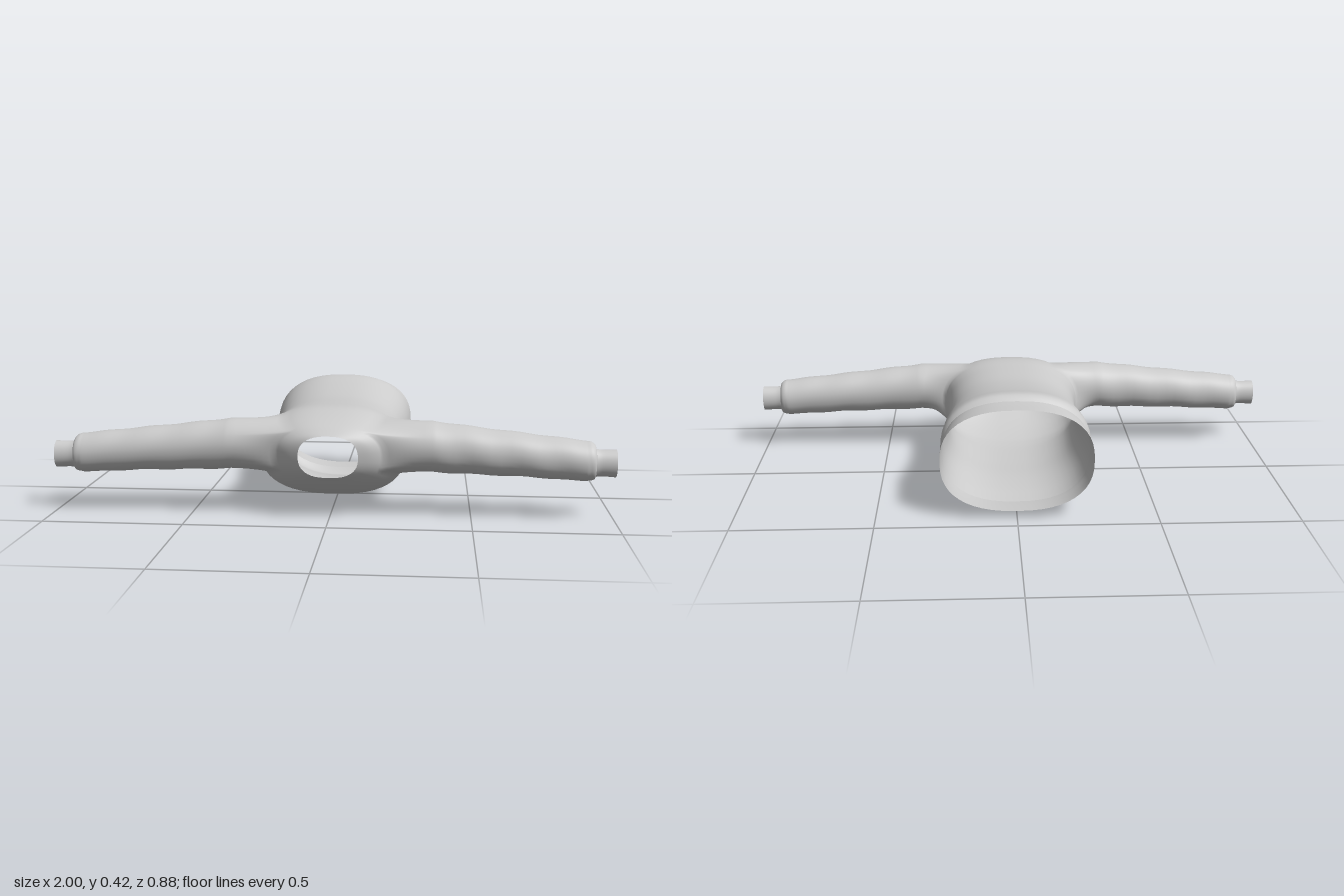
import * as THREE from 'three';

const material = new THREE.MeshStandardMaterial({ color: 0xcccccc, side: THREE.DoubleSide });
const SIDES = 48, SUB = 4;

// Torso stations from neck to waist: zTop, zBottom, yTop, yBottom, halfWidth
const torso = [
  [0.44, 0.40, 0.307, 0.152, 0.105],
  [0.425, 0.375, 0.318, 0.135, 0.15],
  [0.40, 0.345, 0.335, 0.113, 0.19],
  [0.365, 0.305, 0.349, 0.088, 0.225],
  [0.32, 0.26, 0.363, 0.066, 0.25],
  [0.26, 0.21, 0.376, 0.049, 0.262],
  [0.205, 0.175, 0.379, 0.042, 0.262],
  [0.13, 0.12, 0.377, 0.036, 0.25],
  [0, 0, 0.375, 0.03, 0.245],
  [-0.11, -0.11, 0.385, 0.027, 0.25],
  [-0.21, -0.21, 0.402, 0.017, 0.262],
  [-0.28, -0.28, 0.418, 0.005, 0.268],
  [-0.32, -0.32, 0.42, 0.001, 0.27],
  [-0.342, -0.348, 0.404, 0.024, 0.262],
];
const hem = [
  [-0.342, -0.348, 0.404, 0.024, 0.262],
  [-0.38, -0.385, 0.402, 0.026, 0.268],
  [-0.43, -0.438, 0.401, 0.028, 0.27],
];
// Sleeve stations: x, yCentre, yRadius, zCentre, zRadius
const sleeve = [
  [0.36, 0.251, 0.091, 0.299, 0.086],
  [0.5, 0.24, 0.085, 0.302, 0.078],
  [0.7, 0.226, 0.077, 0.303, 0.073],
  [0.85, 0.213, 0.073, 0.305, 0.067],
  [0.905, 0.21, 0.07, 0.305, 0.065],
  [0.925, 0.207, 0.062, 0.307, 0.056],
  [0.928, 0.204, 0.05, 0.31, 0.039],
];
const cuff = [
  [0.928, 0.204, 0.05, 0.31, 0.039],
  [0.95, 0.204, 0.047, 0.31, 0.036],
  [1.0, 0.203, 0.049, 0.31, 0.038],
];

// Smooth values at position u (in stations) along a table
function sample(table, u) {
  const i = Math.min(Math.floor(u), table.length - 2), t = u - i;
  const at = (k) => table[Math.max(0, Math.min(table.length - 1, k))];
  return at(i).map((p, k) => {
    const q = at(i + 1)[k], m0 = (q - at(i - 1)[k]) / 2, m1 = (at(i + 2)[k] - p) / 2;
    const t2 = t * t, t3 = t2 * t;
    return (2 * t3 - 3 * t2 + 1) * p + (t3 - 2 * t2 + t) * m0 + (3 * t2 - 2 * t3) * q + (t3 - t2) * m1;
  });
}

// Rounded oval torso section; the front rim leans back at the bottom
function torsoPoint([zt, zb, yt, yb, w], j) {
  const a = (j / SIDES) * Math.PI * 2;
  const soft = (v) => Math.sign(v) * Math.abs(v) ** 0.82;
  const v = soft(Math.sin(a));
  const y = (yt + yb) / 2 + v * (yt - yb) / 2;
  return [soft(Math.cos(a)) * w, y, zb + (zt - zb) * Math.max(0, (v + 1) / 2) ** 0.6];
}

function sleevePoint([x, yc, ry, zc, rz], a, fold) {
  const r = 1 + fold * Math.sin(x * 38 + 2 * Math.sin(a));
  return [x, yc + Math.sin(a) * ry * r, zc + Math.cos(a) * rz * r];
}

function surface() {
  const pos = [], index = [];
  return {
    pos,
    add(p) { pos.push(...p); return pos.length / 3 - 1; },
    quad(a, b, c, d, flip) {
      index.push(...(flip ? [a, b, c, b, d, c] : [a, c, b, b, c, d]));
    },
    strip(r0, r1, flip) {
      const n = r0.length;
      for (let k = 0; k < n; k++) this.quad(r0[k], r0[(k + 1) % n], r1[k], r1[(k + 1) % n], flip);
    },
    mesh(name) {
      const g = new THREE.BufferGeometry();
      g.setAttribute('position', new THREE.Float32BufferAttribute(pos, 3));
      g.setIndex(index);
      g.computeVertexNormals();
      const m = new THREE.Mesh(g, material);
      m.name = name;
      return m;
    },
  };
}

// Torso with two armholes and the sleeves grown from their edges
function buildGarment() {
  const s = surface();
  const rows = [];
  for (let i = 0; i <= (torso.length - 1) * SUB; i++) {
    const st = sample(torso, i / SUB);
    rows.push(Array.from({ length: SIDES }, (_, j) => s.add(torsoPoint(st, j))));
  }
  const i0 = 2 * SUB, i1 = 6 * SUB, j0 = -3, j1 = 7;
  const inHole = (i, j) => {
    const k = j > SIDES / 2 ? j - SIDES : j;
    const m = SIDES / 2 - 1 - j;
    return i >= i0 && i < i1 && ((k >= j0 && k < j1) || (m >= j0 && m < j1));
  };
  for (let i = 0; i < rows.length - 1; i++) {
    for (let j = 0; j < SIDES; j++) {
      const n = (j + 1) % SIDES;
      if (!inHole(i, j)) s.quad(rows[i][j], rows[i][n], rows[i + 1][j], rows[i + 1][n]);
    }
  }
  // Armhole edge: along the top, down the back, along the bottom, up the front
  const edge = [];
  for (let i = i0; i < i1; i++) edge.push([i, j1]);
  for (let j = j1; j > j0; j--) edge.push([i1, j]);
  for (let i = i1; i > i0; i--) edge.push([i, j0]);
  for (let j = j0; j < j1; j++) edge.push([i0, j]);

  for (const side of [1, -1]) {
    const flip = side < 0;
    let ring = edge.map(([i, j]) => rows[i][((flip ? SIDES / 2 - j : j) + SIDES) % SIDES]);
    const base = ring.map((v) => [s.pos[v * 3] * side, s.pos[v * 3 + 1], s.pos[v * 3 + 2]]);
    const angles = base.map(([, y, z]) => Math.atan2((y - 0.245) / 0.1, (z - 0.285) / 0.09));
    const grow = (pts) => {
      const next = pts.map(([x, y, z]) => s.add([x * side, y, z]));
      s.strip(ring, next, flip);
      ring = next;
    };
    // Shoulder blend
    for (let k = 1; k <= 8; k++) {
      const t = k / 8;
      grow(base.map((b, n) => {
        const c = sleevePoint(sleeve[0], angles[n], 0.02);
        const mid = [(b[0] + c[0]) / 2, c[1], c[2]];
        return b.map((v, q) => (1 - t) ** 2 * v + 2 * t * (1 - t) * mid[q] + t * t * c[q]);
      }));
    }
    // Arm down to the gathered wrist
    for (let k = 1; k <= (sleeve.length - 1) * 6; k++) {
      const st = sample(sleeve, k / 6);
      grow(angles.map((a) => sleevePoint(st, a, st[0] < 0.9 ? 0.02 : 0)));
    }
  }
  return s.mesh('torsoAndSleeves');
}

function buildHem() {
  const s = surface();
  let last = null;
  for (let i = 0; i <= 8; i++) {
    const st = sample(hem, i / 4);
    const ring = Array.from({ length: SIDES }, (_, j) => s.add(torsoPoint(st, j)));
    if (last) s.strip(last, ring);
    last = ring;
  }
  return s.mesh('waistHem');
}

function buildCuff(side) {
  const s = surface();
  let last = null;
  for (let i = 0; i <= 8; i++) {
    const st = sample(cuff, i / 4);
    const ring = Array.from({ length: 32 }, (_, j) => {
      const [x, y, z] = sleevePoint(st, (j / 32) * Math.PI * 2, 0);
      return s.add([x * side, y, z]);
    });
    if (last) s.strip(last, ring, side > 0);
    last = ring;
  }
  return s.mesh(side > 0 ? 'leftCuff' : 'rightCuff');
}

export function createModel() {
  const group = new THREE.Group();
  group.name = 'sweater';
  group.add(buildGarment(), buildHem(), buildCuff(1), buildCuff(-1));
  return group;
}
